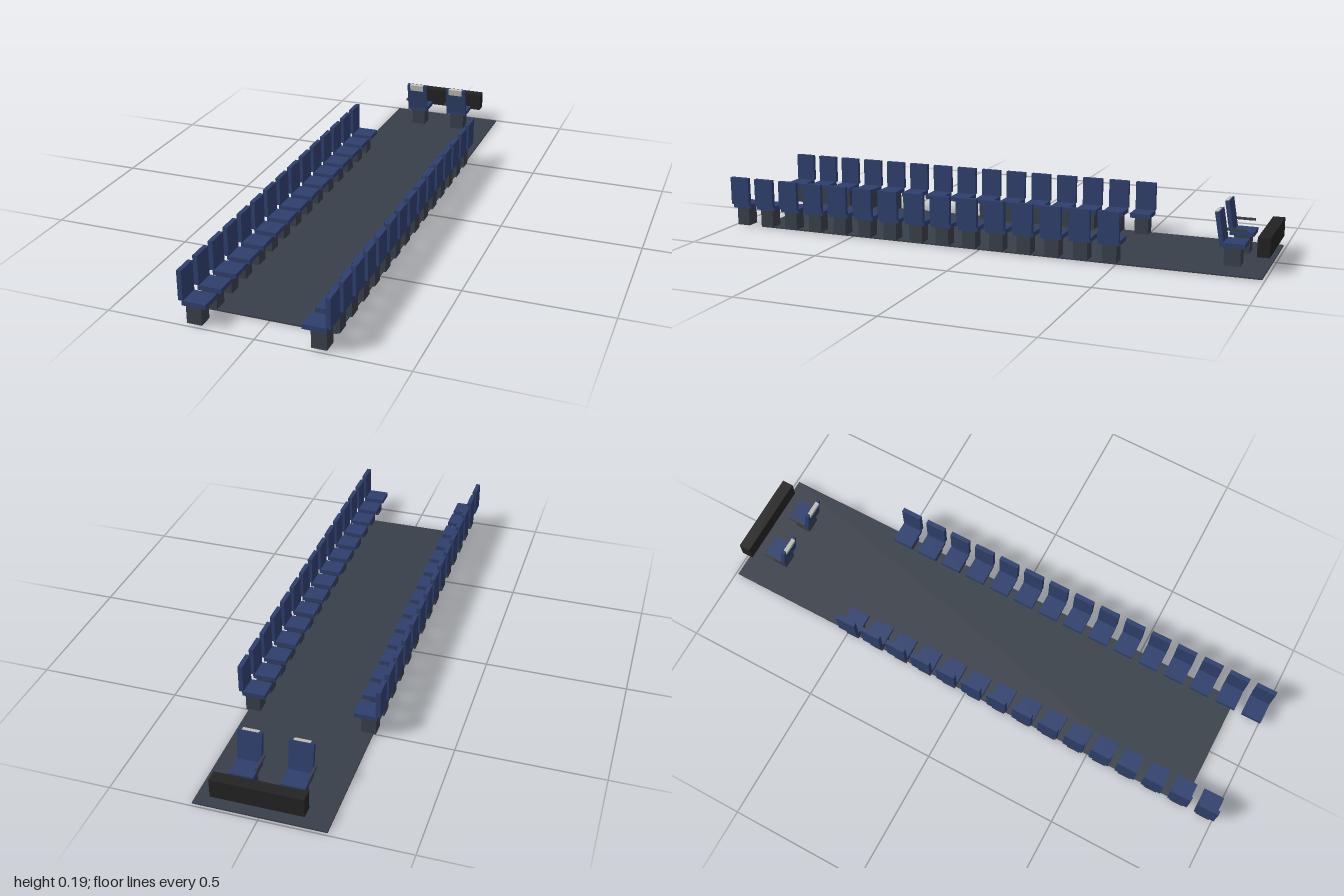
import * as THREE from 'three';

const mat = (name, color) => {
  const m = new THREE.MeshStandardMaterial({ color });
  m.name = name;
  return m;
};

export function createModel() {
  const slate = mat('slate', 0x383f49);
  const blue = mat('navy fabric', 0x2e3f6c);
  const black = mat('black', 0x222222);
  const pale = mat('pale grey', 0xc0c2b8);

  const model = new THREE.Group();
  model.name = 'cabinInterior';

  const box = (parent, name, material, [w, h, d], [x, y, z]) => {
    const mesh = new THREE.Mesh(new THREE.BoxGeometry(w, h, d), material);
    mesh.name = name;
    mesh.position.set(x, y, z);
    parent.add(mesh);
    return mesh;
  };

  // Floor and control console
  box(model, 'floor', slate, [0.444, 0.005, 1.876], [0, 0.0025, -0.052]);
  box(model, 'console', black, [0.308, 0.067, 0.042], [0, 0.0895, -0.979]);

  // Two rows of side seats facing the aisle
  const rowSeats = 15;
  for (const side of [-1, 1]) {
    for (let i = 0; i < rowSeats; i++) {
      const seat = new THREE.Group();
      seat.name = 'sideSeat';
      seat.position.z = 0.9625 - i * 0.1029;
      box(seat, 'pedestal', slate, [0.051, 0.067, 0.05], [side * 0.2055, 0.0365, 0]);
      box(seat, 'cushion', blue, [0.081, 0.016, 0.075], [side * 0.197, 0.078, 0]);
      box(seat, 'backrest', blue, [0.016, 0.102, 0.075], [side * 0.241, 0.137, 0]);
      model.add(seat);
    }
  }

  // Two crew seats facing the console
  for (const x of [-0.085, 0.085]) {
    const seat = new THREE.Group();
    seat.name = 'crewSeat';
    seat.position.set(x, 0, -0.87);
    box(seat, 'pedestal', slate, [0.056, 0.067, 0.056], [0, 0.0365, 0]);
    box(seat, 'cushion', blue, [0.082, 0.016, 0.084], [0, 0.078, -0.001]);
    box(seat, 'armrest', slate, [0.008, 0.008, 0.07], [-0.048, 0.111, 0.004]);

    // Reclined back with a headrest pad behind its top edge
    const back = new THREE.Group();
    back.name = 'reclinedBack';
    back.position.set(0, 0.137, 0.045);
    back.rotation.x = 0.17;
    box(back, 'backrest', blue, [0.082, 0.104, 0.015], [0, 0, 0]);
    box(back, 'headrest', pale, [0.056, 0.025, 0.014], [0, 0.041, 0.004]);
    seat.add(back);
    model.add(seat);
  }

  return model;
}
